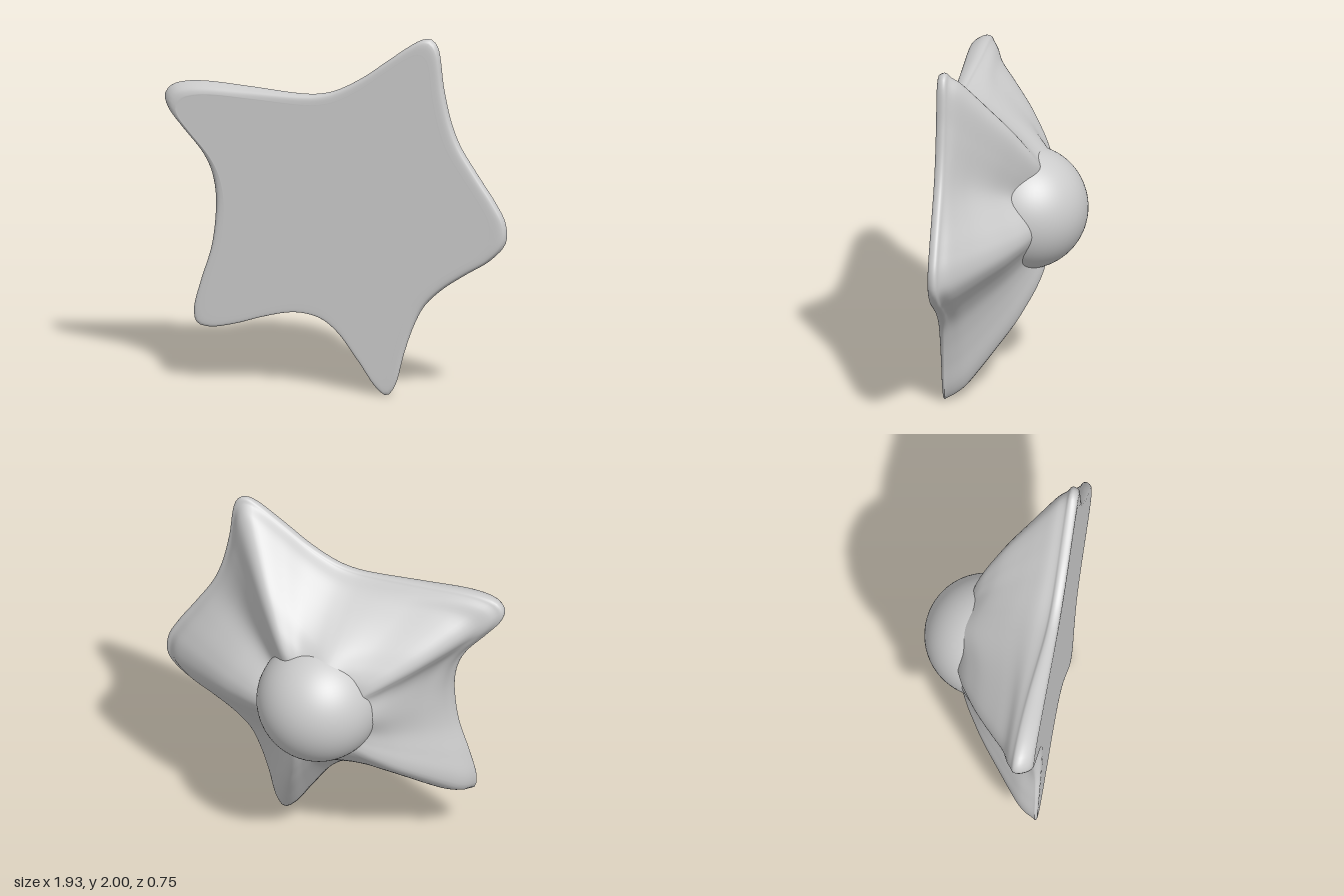
import * as THREE from 'three';

// Star outline (x, y), clockwise from the top arm
const OUTLINE = [
  [.54, 2], [.575, 1.96], [.61, 1.73], [.65, 1.55], [.7, 1.42], [.8, 1.26], [.9, 1.11],
  [.955, 1], [.955, .89], [.87, .79], [.73, .7], [.6, .61], [.5, .51], [.44, .39], [.39, .24],
  [.34, .06], [.295, .005], [.24, .04], [.14, .18], [.02, .34], [-.07, .41], [-.16, .435],
  [-.25, .435], [-.4, .4], [-.56, .35], [-.7, .325], [-.77, .345], [-.785, .42], [-.75, .57],
  [-.69, .77], [-.67, .95], [-.675, 1.08], [-.705, 1.2], [-.76, 1.3], [-.88, 1.44],
  [-.95, 1.53], [-.965, 1.59], [-.93, 1.64], [-.86, 1.665], [-.75, 1.675], [-.5, 1.665],
  [-.2, 1.65], [-.1, 1.655], [0, 1.68], [.15, 1.76], [.3, 1.87], [.44, 1.97], [.5, 2],
];
const CENTRE = new THREE.Vector2(-.015, 1.03);
const FRONT = .375;
const INSET = .92;

// Slope of the back: outline scale against z, from rim to middle
const SLOPE = [
  [.93, .265], [.85, .205], [.75, .135], [.6, .03], [.5, -.03], [.4, -.085], [.3, -.125], [.15, -.145], [.01, -.15],
];

// Swells and hollows of the back: angle, fullness (negative is deeper), narrowness
const SWELLS = [[.53, -.085, 18], [1.78, .11, 8], [3.14, .085, 11], [-1.81, .1, 12], [-1.27, .015, 40]];

const lobe = (angle, middle, power) => Math.max(0, Math.cos(angle - middle)) ** power;

// Depth profile for one direction; the upper right-hand arm has a fat rim, the lower arms a thin one
function profileAt(angle) {
  const fat = lobe(angle, 2.62, 6);
  const lip = .045 + .05 * fat - .04 * lobe(angle, -1.85, 2);
  const fullness = SWELLS.reduce((sum, [a, size, power]) => sum + size * lobe(angle, a, power), 0);
  const slope = SLOPE.map(([t, z]) => [t, z - fullness * 4 * t * (1 - t)]);
  slope[0][1] -= .03 * fat;
  const points = [
    [INSET - .01, FRONT], [INSET, FRONT], [.98 - .025 * fat, FRONT - lip * .12], [.995 - .01 * fat, FRONT - lip * .45],
    [1, FRONT - lip * .8], [.995, FRONT - lip * 1.1], [.97, .31 - .055 * fat], ...slope,
  ].map(([t, z]) => new THREE.Vector3(t, z, 0));
  return new THREE.CatmullRomCurve3(points, false, 'centripetal').getPoints(60);
}

function createStarBack(rim) {
  const n = rim.length;
  const rows = 61;
  const positions = [];
  const indices = [];
  rim.forEach((p, i) => {
    const dx = p.x - CENTRE.x;
    const dy = p.y - CENTRE.y;
    for (const q of profileAt(Math.atan2(dy, dx))) {
      positions.push(CENTRE.x + dx * q.x, CENTRE.y + dy * q.x, q.y);
    }
    const next = (i + 1) % n;
    for (let j = 0; j < rows - 1; j++) {
      const a = i * rows + j;
      const b = next * rows + j;
      indices.push(a, b, a + 1, b, b + 1, a + 1);
    }
  });
  const geometry = new THREE.BufferGeometry();
  geometry.setAttribute('position', new THREE.Float32BufferAttribute(positions, 3));
  geometry.setIndex(indices);
  geometry.computeVertexNormals();
  return geometry;
}

export function createModel() {
  const group = new THREE.Group();
  group.name = 'starKnob';
  const material = new THREE.MeshStandardMaterial({ color: 0xcccccc });
  const add = (name, geometry) => {
    const mesh = new THREE.Mesh(geometry, material);
    mesh.name = name;
    group.add(mesh);
    return mesh;
  };

  const curve = new THREE.CatmullRomCurve3(
    OUTLINE.map(([x, y]) => new THREE.Vector3(x, y, 0)), true, 'centripetal');
  const rim = curve.getSpacedPoints(240).slice(0, 240);

  // Sloping star with ridged arms and a rounded rim
  add('starBody', createStarBack(rim));

  // Flat front face, just inside the rounded rim
  const face = new THREE.Shape(rim.map((p) =>
    new THREE.Vector2(p.x, p.y).sub(CENTRE).multiplyScalar(INSET - .01).add(CENTRE)));
  add('frontFace', new THREE.ShapeGeometry(face)).position.z = FRONT;

  // Ball set into the middle of the back
  add('ball', new THREE.SphereGeometry(.338, 64, 40)).position.set(CENTRE.x, CENTRE.y, -.037);

  return group;
}
